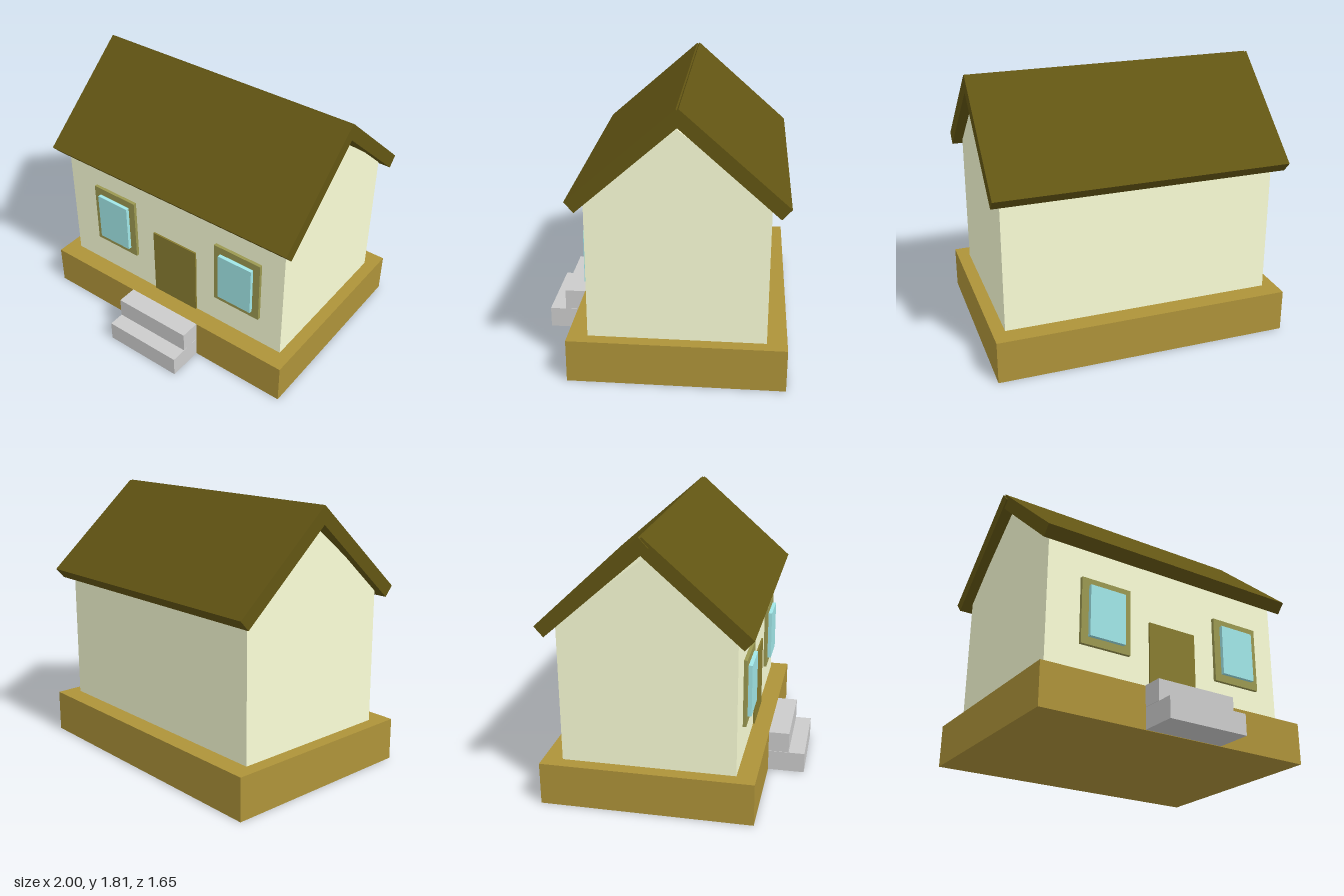
import * as THREE from 'three';

const mat = (color) => new THREE.MeshStandardMaterial({ color, flatShading: true });
const BASE = mat(0xae9339), WALL = mat(0xfbffd7), ROOF = mat(0x625513);
const FRAME = mat(0x9b9851), GLASS = mat(0xa1e7e8), DOOR = mat(0x887c30), STONE = mat(0xcccccc);

export function createModel() {
  const house = new THREE.Group();
  house.name = 'house';

  function add(name, geometry, material, parent = house) {
    const mesh = new THREE.Mesh(geometry, material);
    mesh.name = name;
    parent.add(mesh);
    return mesh;
  }

  // Box given by its limits on each axis
  function box(name, material, [x0, x1], [y0, y1], [z0, z1], parent) {
    const mesh = add(name, new THREE.BoxGeometry(x1 - x0, y1 - y0, z1 - z0), material, parent);
    mesh.position.set((x0 + x1) / 2, (y0 + y1) / 2, (z0 + z1) / 2);
    return mesh;
  }

  // Side profile of [z, y] points, extruded along x
  function profile(name, material, points, x0, x1) {
    const shape = new THREE.Shape(points.map(([z, y]) => new THREE.Vector2(-z, y)));
    const geometry = new THREE.ExtrudeGeometry(shape, { depth: x1 - x0, bevelEnabled: false });
    geometry.rotateY(Math.PI / 2).translate(x0, 0, 0);
    return add(name, geometry, material);
  }

  // Foundation and steps
  box('foundation', BASE, [-1, 1], [0, 0.287], [-0.825, 0.575]);
  box('lowerStep', STONE, [-0.267, 0.31], [0.003, 0.145], [0.575, 0.825]);
  box('upperStep', STONE, [-0.267, 0.31], [0.147, 0.289], [0.575, 0.715]);

  // Walls with gables
  const wallFront = 0.447;
  profile('walls', WALL, [
    [wallFront, 0.287], [wallFront, 1.225], [-0.125, 1.67], [-0.695, 1.225], [-0.695, 0.287],
  ], -0.91, 0.915);

  // Two rectangular roof slabs that cross at the ridge
  const ridgeZ = -0.129;
  for (const [name, s, left] of [['frontRoof', 1, -0.97], ['backRoof', -1, -0.98]]) {
    const slab = [[0.008, 1.812], [0.68, 1.222], [0.62, 1.155], [-0.052, 1.745]];
    profile(name, ROOF, slab.map(([z, y]) => [ridgeZ + s * z, y]), left, 0.98);
  }

  // Door
  box('door', DOOR, [-0.15, 0.215], [0.287, 0.797], [wallFront - 0.02, 0.459]);

  // Windows: frame board with a raised pane
  for (const [name, x, y] of [['rightWindow', -0.49, 0.745], ['leftWindow', 0.563, 0.737]]) {
    const win = new THREE.Group();
    win.name = name;
    house.add(win);
    box('frame', FRAME, [x - 0.182, x + 0.182], [y - 0.23, y + 0.23], [wallFront - 0.02, 0.47], win);
    box('pane', GLASS, [x - 0.131, x + 0.131], [y - 0.177, y + 0.177], [wallFront, 0.496], win);
  }

  return house;
}
